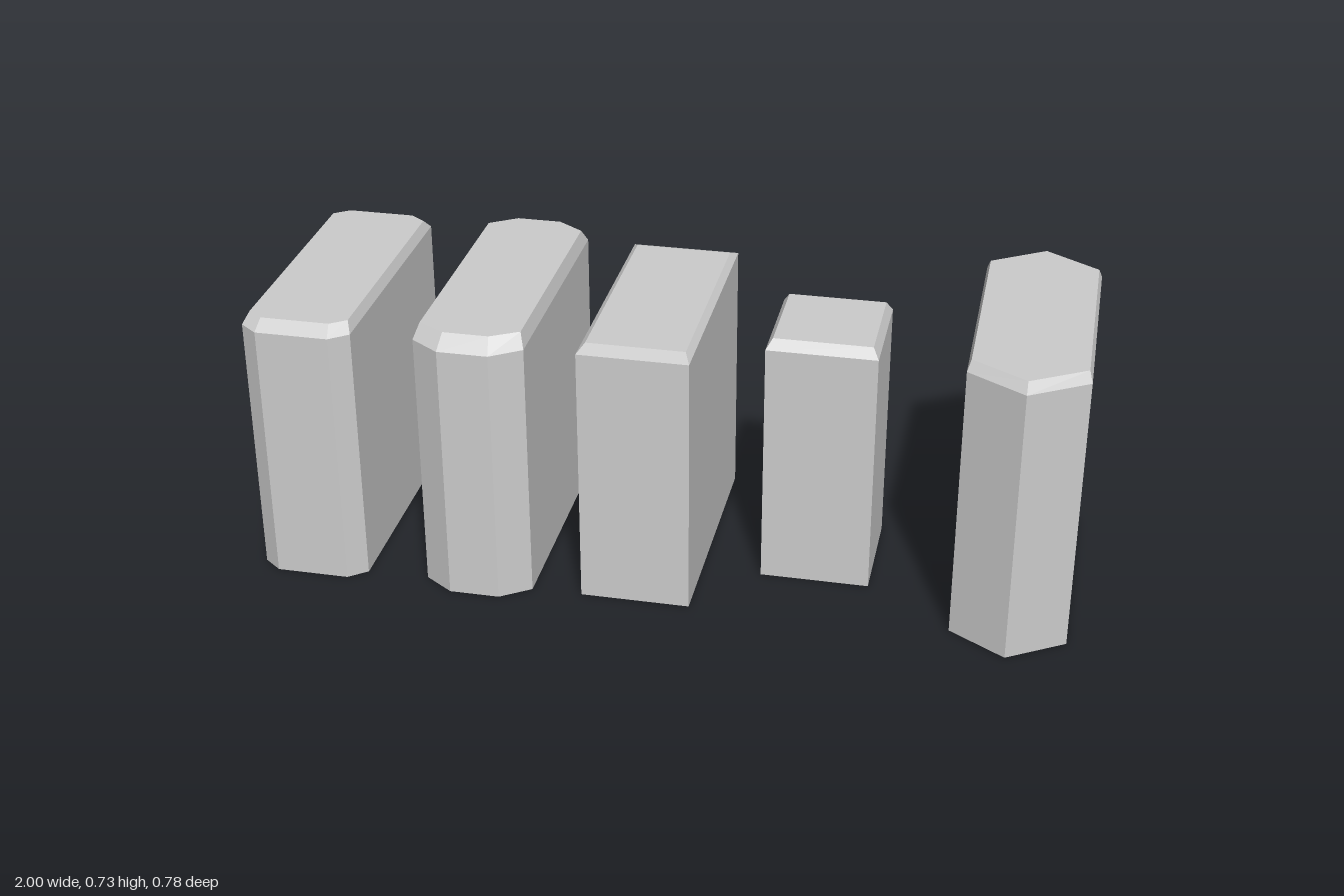
import * as THREE from 'three';

const material = new THREE.MeshStandardMaterial({ color: 0xcccccc, flatShading: true });

// Closed outline from its +x half (front to back), mirrored to -x
function outline(half, y) {
  const mirrored = half.filter(([x]) => x > 0).reverse().map(([x, z]) => [-x, z]);
  return [...half, ...mirrored].map(([x, z]) => new THREE.Vector3(x, y, z));
}

// Faceted solid through stacked outlines, capped at both ends
function loft(rings) {
  const pos = [];
  const tri = (...pts) => pts.forEach((p) => pos.push(p.x, p.y, p.z));
  const n = rings[0].length;
  for (let r = 0; r < rings.length - 1; r++) {
    for (let i = 0; i < n; i++) {
      const j = (i + 1) % n;
      const [a, b, c, d] = [rings[r][i], rings[r][j], rings[r + 1][j], rings[r + 1][i]];
      tri(a, b, c);
      tri(a, c, d);
    }
  }
  const top = rings[rings.length - 1], base = rings[0];
  for (let i = 1; i < n - 1; i++) {
    tri(top[0], top[i], top[i + 1]);
    tri(base[0], base[i + 1], base[i]);
  }
  const g = new THREE.BufferGeometry();
  g.setAttribute('position', new THREE.Float32BufferAttribute(pos, 3));
  g.computeVertexNormals();
  return g;
}

// Half outlines: chamfered ends, square ends, pointed ends
const chamfered = (w, tip, front, frontCorner, backCorner, back) =>
  [[tip, front], [w, frontCorner], [w, backCorner], [tip, back]];
const square = (w, front, back) => [[w, front], [w, back]];
const pointed = (w, front, frontCorner, backCorner, back) =>
  [[0, front], [w, frontCorner], [w, backCorner], [0, back]];

export function createModel() {
  const group = new THREE.Group();
  group.name = 'bridgePiers';

  // Each pier: centre x, shoulder and top heights, then base, shoulder and top outlines
  const addPier = (name, x, shoulderY, topY, base, shoulder, top) => {
    const mesh = new THREE.Mesh(
      loft([outline(base, 0), outline(shoulder, shoulderY), outline(top, topY)]), material);
    mesh.name = name;
    mesh.position.x = x;
    group.add(mesh);
  };

  const outer = chamfered(0.135, 0.09, 0.37, 0.335, -0.308, -0.343);
  addPier('outerChamferedPier', -0.865, 0.665, 0.69, outer, outer,
    chamfered(0.123, 0.085, 0.338, 0.31, -0.283, -0.311));

  const inner = chamfered(0.135, 0.062, 0.38, 0.33, -0.307, -0.36);
  addPier('innerChamferedPier', -0.442, 0.665, 0.7, inner, inner,
    chamfered(0.123, 0.056, 0.345, 0.306, -0.283, -0.328));

  const middle = square(0.135, 0.328, -0.305);
  addPier('middleSquarePier', -0.048, 0.665, 0.68, middle, middle, square(0.12, 0.292, -0.27));

  const small = square(0.135, 0.15, -0.13);
  addPier('smallSquarePier', 0.37, 0.63, 0.655, small, small, square(0.12, 0.132, -0.115));

  // Pointed pier, its rear edge leaning inward
  addPier('pointedPier', 0.86, 0.702, 0.727,
    pointed(0.14, 0.39, 0.303, -0.268, -0.39),
    pointed(0.14, 0.39, 0.303, -0.268, -0.36),
    pointed(0.132, 0.368, 0.288, -0.252, -0.338));

  return group;
}
